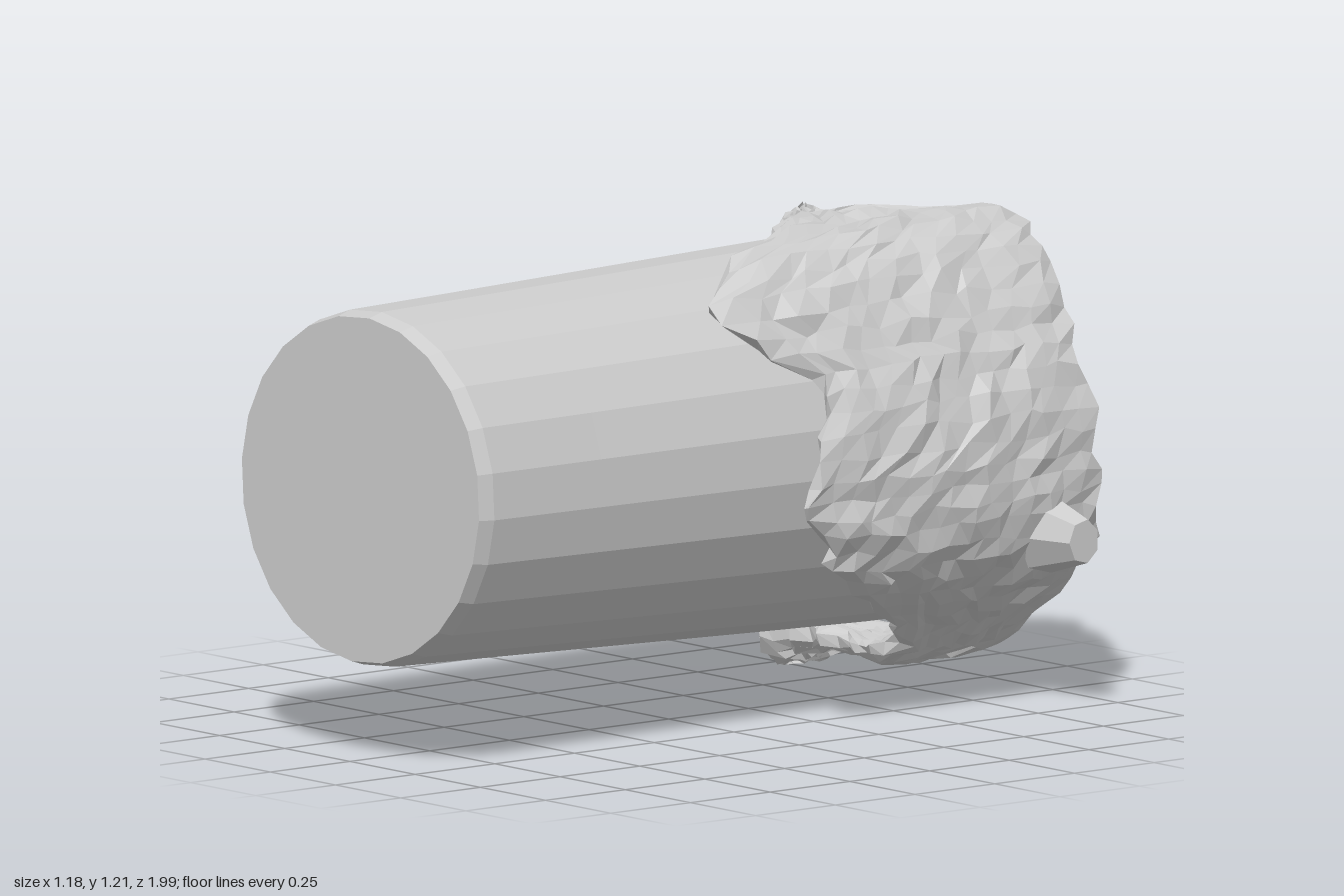
import * as THREE from 'three';

const grey = new THREE.MeshStandardMaterial({ color: 0xcccccc, flatShading: true, side: THREE.DoubleSide });
grey.name = 'grey';

// Seeded jitter in -1..1
let seed = 7;
const jitter = () => {
  seed = (seed * 16807) % 2147483647;
  return (seed / 2147483647) * 2 - 1;
};

// Tapered open cup lying on its side, closed end to the front
function createCup() {
  const back = new THREE.Vector3(-0.115, 0.64, -0.92);
  const front = new THREE.Vector3(0, 0.665, 0.967);
  const axis = front.clone().sub(back);
  const length = axis.length();
  const profile = [
    [0, length - 0.03], [0.41, length - 0.03], [0.44, 0.9], [0.46, 0], [0.48, 0],
    [0.478, 0.3], [0.468, 0.7], [0.457, 1.1], [0.446, 1.5],
    [0.437, length - 0.04], [0.425, length], [0, length],
  ].map(([r, y]) => new THREE.Vector2(r, y));
  const cup = new THREE.Mesh(new THREE.LatheGeometry(profile, 24), grey);
  cup.name = 'cup';
  cup.position.copy(back);
  cup.quaternion.setFromUnitVectors(new THREE.Vector3(0, 1, 0), axis.normalize());
  return cup;
}

// Lumpy sheet wrapped round the side: x, y, thickness, front z, back z
const stations = [
  [-0.21, 1.16, 0.03, -0.57, -0.61], [-0.1, 1.155, 0.06, -0.45, -0.61],
  [0, 1.16, 0.07, -0.33, -0.74], [0.1, 1.155, 0.08, -0.2, -0.95],
  [0.2, 1.125, 0.1, 0, -0.97], [0.28, 1.055, 0.09, 0.08, -0.96],
  [0.355, 0.95, 0.06, 0, -0.95], [0.41, 0.85, 0.05, -0.16, -0.94],
  [0.45, 0.73, 0.05, -0.13, -0.95], [0.465, 0.6, 0.05, -0.07, -0.96],
  [0.46, 0.5, 0.06, -0.1, -0.97], [0.42, 0.4, 0.08, -0.17, -0.98],
  [0.35, 0.315, 0.07, -0.3, -0.98], [0.24, 0.225, 0.07, -0.5, -0.97],
  [0.13, 0.145, 0.07, -0.6, -0.97], [0, 0.1, 0.07, -0.63, -0.95],
  [-0.12, 0.095, 0.06, -0.65, -0.91], [-0.24, 0.1, 0.07, -0.67, -0.87],
  [-0.31, 0.105, 0.12, -0.65, -0.86], [-0.38, 0.115, 0.2, -0.63, -0.87],
  [-0.45, 0.12, 0.23, -0.65, -0.85], [-0.48, 0.115, 0.17, -0.69, -0.82],
];

function createWrap() {
  const path = new THREE.CatmullRomCurve3(stations.map(([x, y, t]) => new THREE.Vector3(x, y, t)));
  const edges = new THREE.CatmullRomCurve3(stations.map((s) => new THREE.Vector3(s[3], s[4], 0)));
  const rows = 50, cols = 15, ring = 2 * (cols + 1);
  const positions = [], index = [];

  for (let i = 0; i <= rows; i++) {
    const u = i / rows;
    const p = path.getPoint(u);
    const e = edges.getPoint(u);
    const a = path.getPoint(Math.max(0, u - 0.01));
    const b = path.getPoint(Math.min(1, u + 0.01));
    const normal = new THREE.Vector2(a.y - b.y, b.x - a.x).normalize();
    const front = e.x + 0.025 * jitter();
    const rear = e.y + 0.012 * jitter();
    const step = Math.abs(front - rear) / cols;
    for (let k = 0; k < ring; k++) {
      const outer = k <= cols;
      const v = (outer ? k : ring - 1 - k) / cols;
      const half = 0.5 * p.z * (0.35 + 0.65 * Math.sqrt(Math.sin(Math.PI * Math.min(1, v)) || 0));
      const offset = (outer ? half : -half) + (outer ? 0.011 : 0.007) * jitter();
      const slide = 0.01 * jitter();
      positions.push(
        p.x + normal.x * offset - normal.y * slide,
        Math.max(0, p.y + normal.y * offset + normal.x * slide),
        front + (rear - front) * v + 0.3 * step * jitter(),
      );
    }
  }
  for (let i = 0; i < rows; i++) {
    for (let k = 0; k < ring; k++) {
      const a = i * ring + k, c = i * ring + ((k + 1) % ring);
      index.push(a, a + ring, c, a + ring, c + ring, c);
    }
  }
  // Close both ends by joining outer and inner points
  for (let k = 0; k < cols; k++) {
    const m = ring - 1 - k, end = rows * ring;
    index.push(k, k + 1, m, k + 1, m - 1, m);
    index.push(end + k, end + m, end + k + 1, end + k + 1, end + m, end + m - 1);
  }
  const geometry = new THREE.BufferGeometry();
  geometry.setAttribute('position', new THREE.Float32BufferAttribute(positions, 3));
  geometry.setIndex(index);
  geometry.computeVertexNormals();
  const wrap = new THREE.Mesh(geometry, grey);
  wrap.name = 'lumpyWrap';
  return wrap;
}

// Blunt knob standing out of the wrap
function createKnob() {
  const geometry = new THREE.CylinderGeometry(0.055, 0.1, 0.15, 7, 2);
  geometry.scale(1, 1, 0.85);
  const knob = new THREE.Mesh(geometry, grey);
  knob.name = 'knob';
  knob.position.set(0.51, 0.425, -0.825);
  knob.rotation.z = -Math.PI / 2;
  return knob;
}

export function createModel() {
  const model = new THREE.Group();
  model.name = 'cupWithWrap';
  model.add(createCup(), createWrap(), createKnob());
  return model;
}
